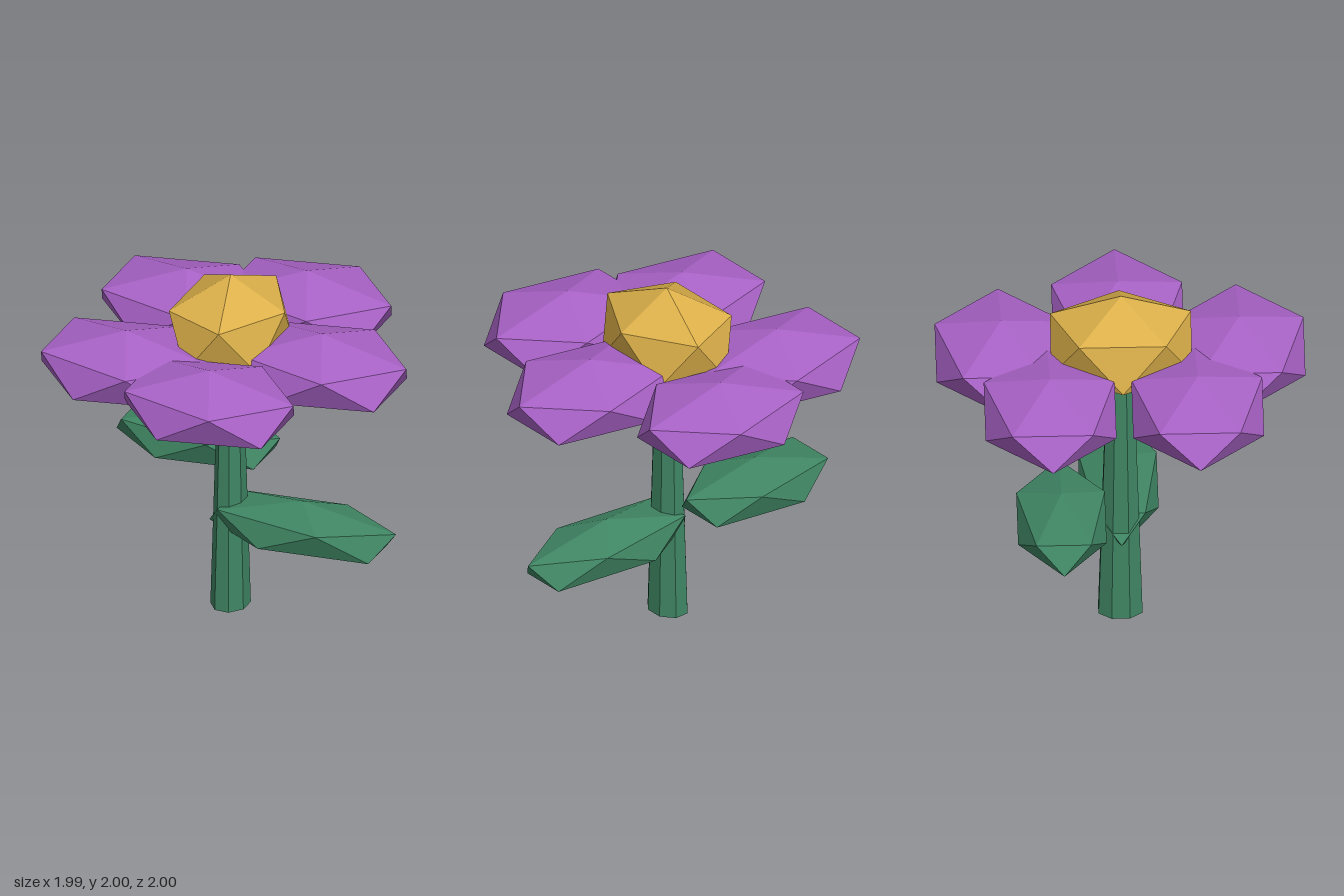
import * as THREE from 'three';

const mat = (name, color) => {
  const m = new THREE.MeshStandardMaterial({ color, flatShading: true });
  m.name = name;
  return m;
};

export function createModel() {
  const flower = new THREE.Group();
  flower.name = 'flower';
  const purple = mat('petal purple', 0xa862c6);
  const yellow = mat('centre yellow', 0xdcb04a);
  const green = mat('stem green', 0x3f8563);

  // Icosahedron standing on a corner, with an upper ring corner towards +x
  const gem = new THREE.IcosahedronGeometry(1, 0);
  gem.rotateZ(-Math.atan(2 / (1 + Math.sqrt(5))));

  const addGem = (name, material, position, radii) => {
    const mesh = new THREE.Mesh(gem, material);
    mesh.name = name;
    mesh.position.set(...position);
    mesh.scale.set(...radii);
    flower.add(mesh);
  };

  // Five petals, all facing the same way
  const petals = [[0.49, 0], [0.11, -0.645], [0.11, 0.645], [-0.495, -0.4], [-0.495, 0.4]];
  petals.forEach(([x, z], i) =>
    addGem(`petal${i + 1}`, purple, [x, 1.555, z], [0.56, 0.2, 0.417]));

  // Flower centre
  addGem('flowerCentre', yellow, [-0.053, 1.702, 0], [0.36, 0.298, 0.449]);

  // Two leaves
  addGem('leftLeaf', green, [0.375, 0.553, 0], [0.62, 0.158, 0.25]);
  addGem('rightLeaf', green, [-0.395, 0.803, -0.335], [0.543, 0.158, 0.282]);

  // Tapered eight-sided stem, slightly deeper than wide
  const stemShape = new THREE.CylinderGeometry(0.065, 0.106, 1.5, 8);
  stemShape.rotateY(Math.PI / 8);
  const stem = new THREE.Mesh(stemShape, green);
  stem.name = 'stem';
  stem.position.set(-0.055, 0.75, -0.004);
  stem.scale.z = 1.22;
  flower.add(stem);

  return flower;
}
